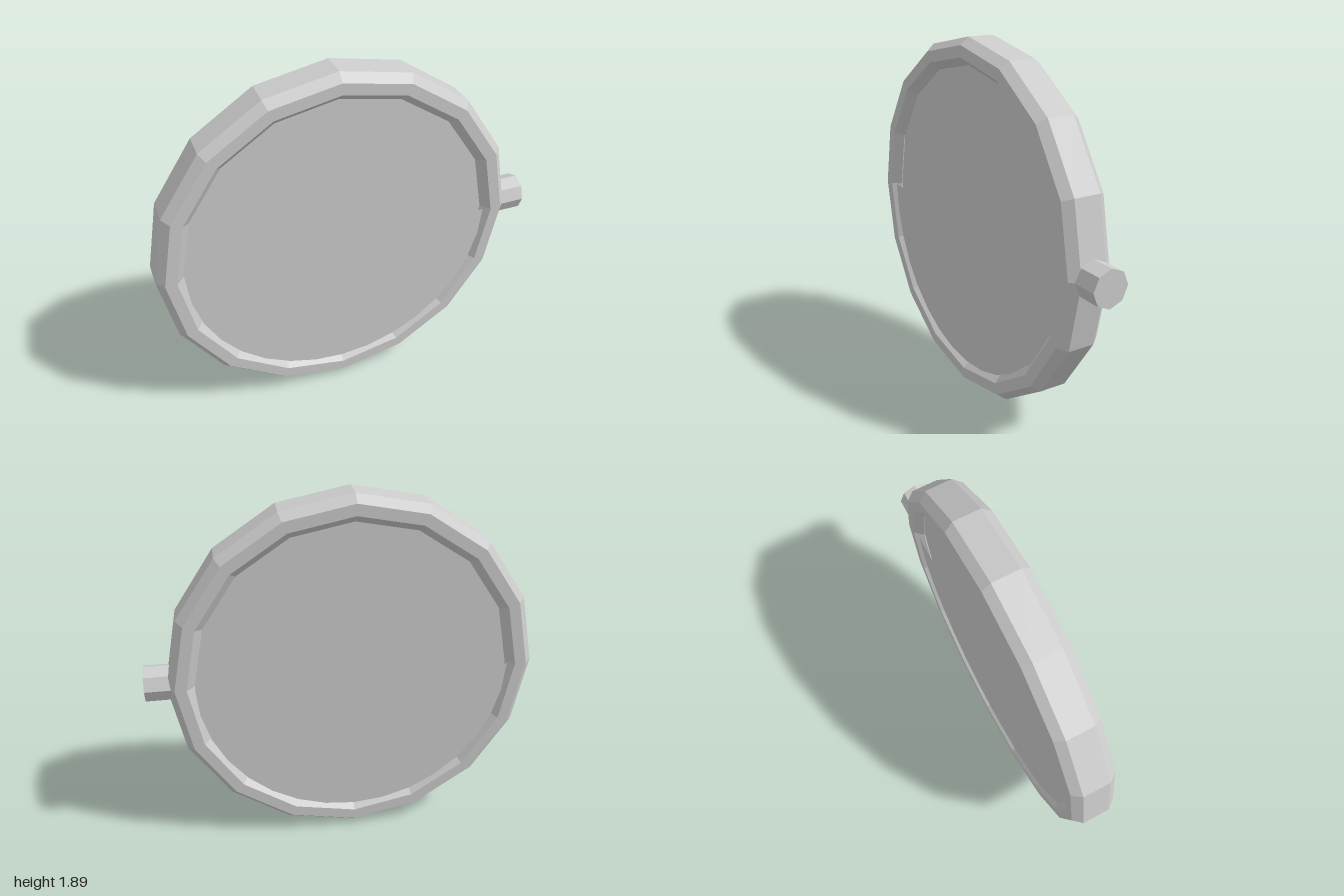
import * as THREE from 'three';

export function createModel() {
  const model = new THREE.Group();
  const grey = new THREE.MeshStandardMaterial({ color: 0xcccccc, flatShading: true, side: THREE.DoubleSide });
  grey.name = 'plain grey';

  const add = (parent, name, geometry) => {
    const mesh = new THREE.Mesh(geometry, grey);
    mesh.name = name;
    parent.add(mesh);
    return mesh;
  };

  // Everything on the dial is centred on the middle of the ring
  const clock = new THREE.Group();
  clock.name = 'clock';
  clock.position.set(-0.055, 0.947, 0);
  model.add(clock);

  // Bevelled sixteen-sided rim: an octagonal section swept round the z axis
  const section = [
    [0.945, -0.07], [0.945, 0.07], [0.907, 0.115], [0.848, 0.115],
    [0.808, 0.07], [0.808, -0.07], [0.848, -0.115], [0.907, -0.115], [0.945, -0.07],
  ].map(([r, z]) => new THREE.Vector2(r, z));
  add(clock, 'rim', new THREE.LatheGeometry(section, 16).rotateX(Math.PI / 2));

  // Winding knob on the side
  add(clock, 'knob', new THREE.CylinderGeometry(0.094, 0.094, 0.2, 8).rotateZ(Math.PI / 2))
    .position.x = 0.955;

  // Turning day and night dial
  add(clock, 'dial', new THREE.CylinderGeometry(0.82, 0.82, 0.13, 16).rotateX(Math.PI / 2));

  // Sun: a disc with eight separate rays
  const sunShapes = [new THREE.Shape().absarc(0, 0, 0.113, 0, Math.PI * 2)];
  for (let i = 0; i < 8; i++) {
    const a = (i * Math.PI) / 4;
    const corner = (along, across) => new THREE.Vector2(
      along * Math.cos(a) - across * Math.sin(a),
      along * Math.sin(a) + across * Math.cos(a),
    );
    sunShapes.push(new THREE.Shape([corner(0.125, -0.022), corner(0.173, 0), corner(0.125, 0.022)]));
  }

  // Crescent moon, opposite the sun
  const moonShape = new THREE.Shape();
  moonShape.absarc(0, 0, 0.113, -0.6, Math.PI + 0.6, false);
  moonShape.quadraticCurveTo(0, 0.1, 0.113 * Math.cos(0.6), -0.113 * Math.sin(0.6));

  // Sun, moon and half cover appear on both faces
  for (const [side, s] of [['front', 1], ['back', -1]]) {
    const sun = add(clock, side + 'Sun', new THREE.ShapeGeometry(sunShapes, 12));
    sun.position.set(0.495, 0.103, s * 0.069);
    const moon = add(clock, side + 'Moon', new THREE.ShapeGeometry(moonShape, 12));
    moon.position.set(-0.495, -0.103, s * 0.069);
    const cover = add(clock, side + 'Cover', new THREE.CircleGeometry(0.808, 16, Math.PI, Math.PI));
    cover.position.z = s * 0.1;
    // Turn the back pieces to face backwards, keeping their places
    if (s < 0) for (const mesh of [sun, moon, cover]) mesh.rotation.y = Math.PI;
  }

  return model;
}
